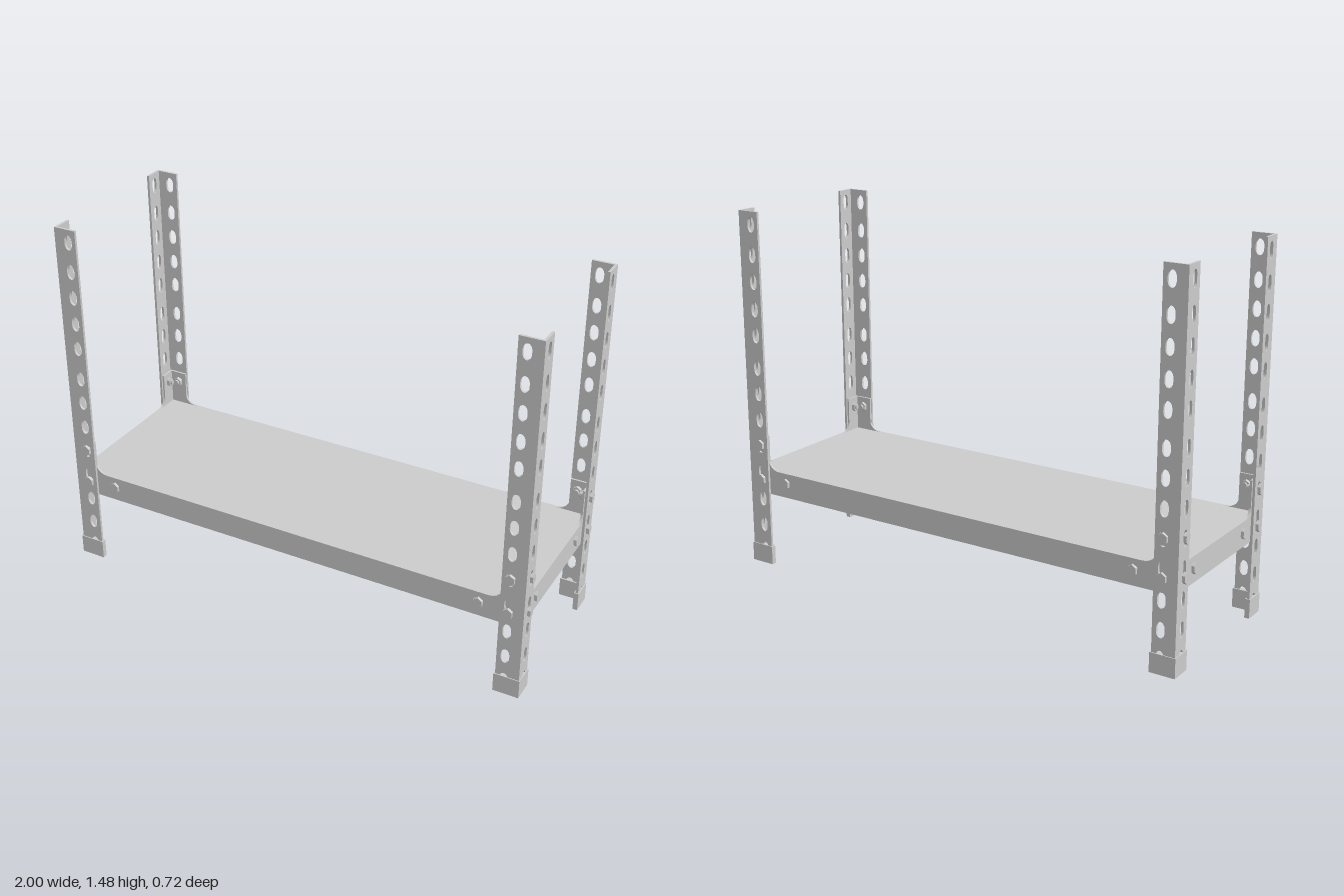
import * as THREE from 'three';
import { mergeGeometries } from 'three/addons/utils/BufferGeometryUtils.js';

const steel = new THREE.MeshStandardMaterial({ color: 0xcccccc, flatShading: true });

const POST = { x: 0.988, z: 0.346, innerX: 0.893, innerZ: 0.266, wall: 0.01, top: 1.476 };
const HOLE = { x: 0.927, z: 0.301 };
const HOLE_Y = [0.06, 0.17, 0.283, 0.4, 0.513, 0.622, 0.733, 0.84, 0.975, 1.082, 1.193, 1.302, 1.423];
const SHELF = { x: 0.974, z: 0.336, bottom: 0.307, top: 0.41, sheet: 0.008 };
const FOOT_H = 0.078;

function add(group, geometry, name) {
  const mesh = new THREE.Mesh(geometry, steel);
  mesh.name = name;
  group.add(mesh);
  return mesh;
}

// Extrude a shape drawn in (across, y) into a sheet whose middle lies at `at` along the axis.
function sheet(shape, thickness, axis, at) {
  const g = new THREE.ExtrudeGeometry(shape, { depth: thickness, bevelEnabled: false, curveSegments: 8 });
  g.translate(0, 0, -thickness / 2);
  if (axis === 'x') g.rotateY(-Math.PI / 2).translate(at, 0, 0);
  else g.translate(0, 0, at);
  return g;
}

// Upright slot with rounded ends
function slot(cx, cy, w, h) {
  const p = new THREE.Path();
  const straight = h / 2 - w * 0.75;
  p.absellipse(cx, cy + straight, w / 2, w * 0.75, 0, Math.PI, false);
  p.absellipse(cx, cy - straight, w / 2, w * 0.75, Math.PI, Math.PI * 2, false);
  p.closePath();
  return p;
}

// One perforated flange of an angle post
function flange(sign, outer, inner, holeAt, holeW, holeH) {
  const s = new THREE.Shape([
    new THREE.Vector2(sign * inner, 0.01), new THREE.Vector2(sign * outer, 0.01),
    new THREE.Vector2(sign * outer, POST.top), new THREE.Vector2(sign * inner, POST.top),
  ]);
  for (const y of HOLE_Y) s.holes.push(slot(sign * holeAt, y, holeW, holeH));
  return s;
}

// L-shaped cap around the bottom of a post
function footGeometry(sx, sz) {
  const ox = 0.992, oz = 0.35, ix = 0.888, iz = 0.262, t = 0.02;
  const pts = [[ox, oz], [ix, oz], [ix, oz - t], [ox - t, oz - t], [ox - t, iz], [ox, iz]];
  const s = new THREE.Shape(pts.map(([x, z]) => new THREE.Vector2(sx * x, -sz * z)));
  return new THREE.ExtrudeGeometry(s, { depth: FOOT_H, bevelEnabled: false }).rotateX(-Math.PI / 2);
}

// Shelf side with rounded ears rising behind the posts
function sideShape(half, ear, run) {
  const { bottom, top } = SHELF;
  const earTop = 0.555;
  const s = new THREE.Shape();
  s.moveTo(-half, bottom);
  s.lineTo(half, bottom);
  s.lineTo(half, earTop);
  s.lineTo(ear, earTop);
  s.lineTo(ear, top + 0.035);
  s.quadraticCurveTo(ear - run * 0.2, top, ear - run, top);
  s.lineTo(-ear + run, top);
  s.quadraticCurveTo(-ear + run * 0.2, top, -ear, top + 0.035);
  s.lineTo(-ear, earTop);
  s.lineTo(-half, earTop);
  return s;
}

// Hex head, shank and nut; outward is +z, seat is the outer face, grip the clamped thickness
function boltGeometry(widthScale, grip) {
  const part = (r, len, sides, z) =>
    new THREE.CylinderGeometry(r, r, len, sides).rotateX(Math.PI / 2).translate(0, 0, z);
  return mergeGeometries([
    part(0.023, 0.012, 6, 0.006),
    part(0.012, grip + 0.022, 12, -(grip + 0.022) / 2),
    part(0.021, 0.014, 6, -grip - 0.007),
  ]).scale(widthScale, 1, 1);
}

export function createModel() {
  const model = new THREE.Group();
  model.name = 'shelfUnit';

  // Shelf pan: top sheet, eared sides and inward lips
  const shelf = new THREE.Group();
  shelf.name = 'shelf';
  model.add(shelf);
  const { x: hx, z: hz, bottom, top, sheet: t } = SHELF;
  add(shelf, new THREE.BoxGeometry(2 * hx, t, 2 * hz).translate(0, top - t / 2, 0), 'shelfTop');
  const lip = 0.022;
  for (const s of [-1, 1]) {
    add(shelf, sheet(sideShape(hx, POST.innerX + 0.002, 0.055), t, 'z', s * (hz - t / 2)), 'longSide');
    add(shelf, sheet(sideShape(hz, POST.innerZ + 0.002, 0.04), t, 'x', s * (hx - t / 2)), 'shortSide');
    add(shelf, new THREE.BoxGeometry(2 * hx, t, lip).translate(0, bottom + t / 2, s * (hz - lip / 2)), 'longLip');
    add(shelf, new THREE.BoxGeometry(lip, t, 2 * hz).translate(s * (hx - lip / 2), bottom + t / 2, 0), 'shortLip');
  }

  // Four corners: angle post, foot cap and bolts
  for (const sx of [-1, 1]) for (const sz of [-1, 1]) {
    const corner = new THREE.Group();
    corner.name = (sz > 0 ? 'front' : 'back') + (sx > 0 ? 'Left' : 'Right') + 'Post';
    model.add(corner);
    add(corner, sheet(flange(sx, POST.x, POST.innerX, HOLE.x, 0.034, 0.062), POST.wall, 'z',
      sz * (POST.z - POST.wall / 2)), 'longFlange');
    add(corner, sheet(flange(sz, POST.z, POST.innerZ, HOLE.z, 0.027, 0.064), POST.wall, 'x',
      sx * (POST.x - POST.wall / 2)), 'shortFlange');
    add(corner, footGeometry(sx, sz), 'foot');

    // Bolts through the post flanges, then one further along each shelf side
    for (const [across, y, onPost] of [[0, 0.515, true], [0, 0.367, true], [1, 0.367, false]]) {
      const grip = onPost ? 0.022 : t;
      const zBolt = add(corner, boltGeometry(0.88, grip), 'bolt');
      zBolt.position.set(sx * (across ? 0.806 : HOLE.x), y, sz * (onPost ? POST.z : hz));
      zBolt.rotation.y = sz > 0 ? 0 : Math.PI;
      const xBolt = add(corner, boltGeometry(0.68, grip), 'bolt');
      xBolt.position.set(sx * (onPost ? POST.x : hx), y, sz * (across ? 0.202 : HOLE.z));
      xBolt.rotation.y = sx * Math.PI / 2;
    }
  }
  return model;
}
